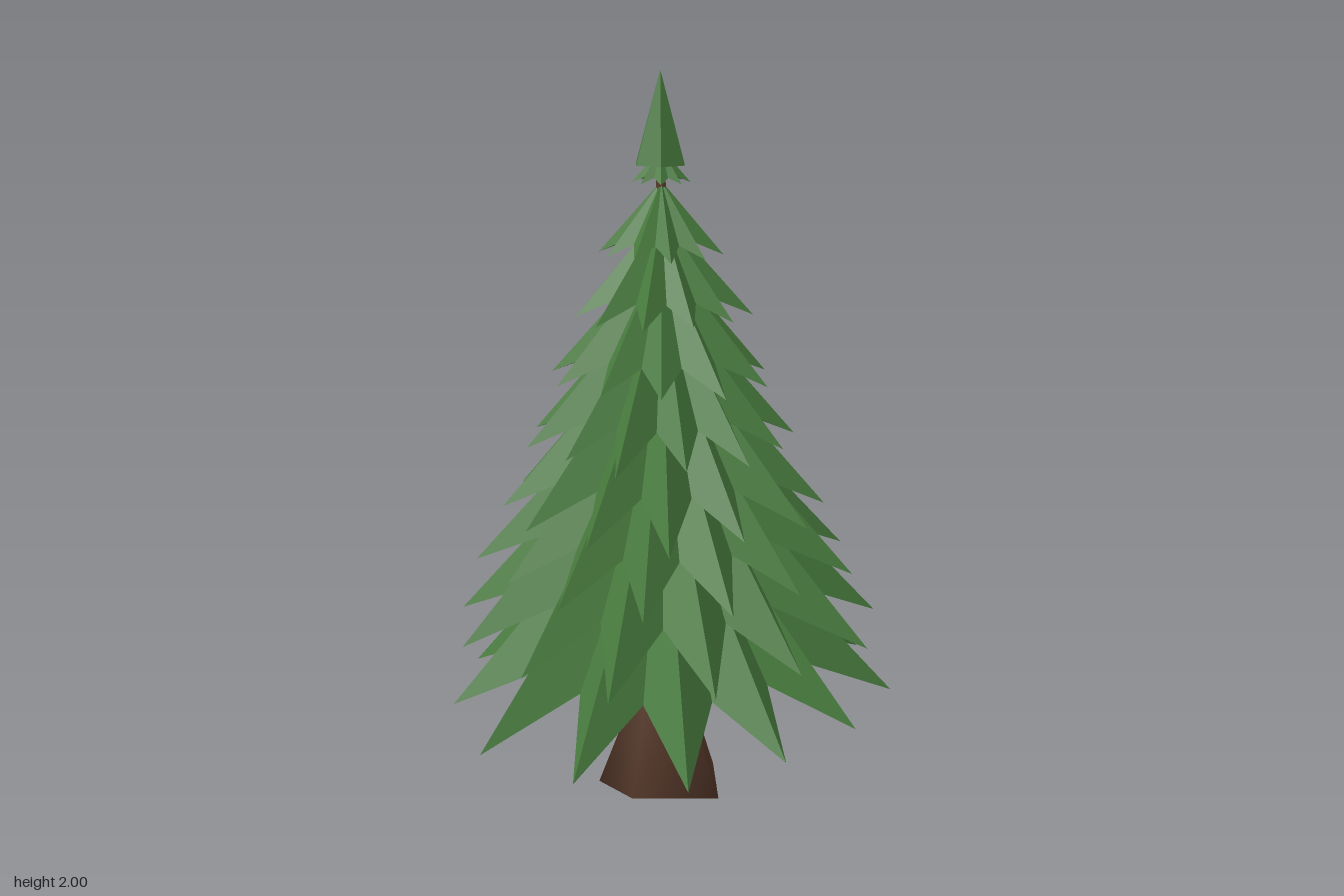
import * as THREE from 'three';

// small seeded generator for uneven branch lengths
function makeRandom(seed) {
  return () => {
    seed = (seed * 16807) % 2147483647;
    return seed / 2147483647;
  };
}

function toGeometry(positions, index) {
  const geo = new THREE.BufferGeometry();
  geo.setAttribute('position', new THREE.Float32BufferAttribute(positions, 3));
  geo.setIndex(index);
  return geo;
}

// the stem leans slightly as it rises
const leanX = (y) => -0.0225 * y;
const leanZ = (y) => -0.016 * y;

// one closed star-shaped skirt: ridged branches above, shallow cone below
function makeTier(tipY, radii, turn) {
  const count = radii.length;
  const step = (Math.PI * 2) / count;
  const mean = radii.reduce((a, b) => a + b) / count;
  const cx = leanX(tipY), cz = leanZ(tipY);
  const apexY = tipY + mean * 1.15;
  const positions = [leanX(apexY), apexY, leanZ(apexY), cx, tipY + mean * 0.4, cz];
  const index = [];
  const valley = mean * 0.62;
  radii.forEach((r, i) => {
    const a = turn + i * step;
    const b = a + step / 2;
    positions.push(cx + Math.cos(a) * r, tipY + (mean - r) * 0.25, cz + Math.sin(a) * r);
    positions.push(cx + Math.cos(b) * valley, tipY + mean * 0.2, cz + Math.sin(b) * valley);
  });
  const n = count * 2;
  for (let i = 0; i < n; i++) {
    const p = 2 + i, q = 2 + ((i + 1) % n);
    index.push(0, q, p, 1, p, q);
  }
  const geo = toGeometry(positions, index).toNonIndexed();
  geo.computeVertexNormals();
  return geo;
}

// six-sided smooth trunk lofted from the flared root outline to the thin top
function makeTrunk() {
  const root = [[0.2, -0.02], [0.03, 0.155], [-0.11, 0.155], [-0.13, 0], [-0.12, -0.135], [0.05, -0.155]];
  const rings = [[0.27, 0.082], [0.42, 0.062], [1.0, 0.045], [1.8, 0.01]];
  const n = root.length;
  const positions = root.flatMap(([x, z]) => [x, 0, z]);
  for (const [y, r] of rings) {
    for (let j = 0; j < n; j++) {
      const a = Math.atan2(root[j][1], root[j][0] - 0.02);
      positions.push(leanX(y) + Math.cos(a) * r, y, leanZ(y) + Math.sin(a) * r);
    }
  }
  const index = [];
  for (let i = 0; i < rings.length; i++) {
    for (let j = 0; j < n; j++) {
      const a = i * n + j, b = i * n + ((j + 1) % n);
      index.push(a, a + n, b, b, a + n, b + n);
    }
  }
  for (let j = 1; j < n - 1; j++) index.push(0, j, j + 1);
  const geo = toGeometry(positions, index);
  geo.computeVertexNormals();
  return geo;
}

function makeTwig(from, to) {
  const path = new THREE.LineCurve3(new THREE.Vector3(...from), new THREE.Vector3(...to));
  return new THREE.TubeGeometry(path, 1, 0.006, 5, false);
}

export function createModel() {
  const group = new THREE.Group();
  const needles = new THREE.MeshStandardMaterial({ color: 0x477a3d, flatShading: true });
  needles.name = 'needle green';
  const bark = new THREE.MeshStandardMaterial({ color: 0x583a2b });
  bark.name = 'bark brown';

  const add = (name, geometry, material) => {
    const mesh = new THREE.Mesh(geometry, material);
    mesh.name = name;
    group.add(mesh);
    return mesh;
  };

  add('trunk', makeTrunk(), bark);
  add('twigMain', makeTwig([-0.02, 0.38, -0.02], [-0.13, 0.45, -0.11]), bark);
  add('twigSide', makeTwig([-0.07, 0.45, -0.03], [-0.08, 0.39, -0.1]), bark);

  // branch tiers, lowest first: tip height, mean reach, branch count, turn in degrees
  const tiers = [
    [0.29, 0.61, 13, 11], [0.5, 0.57, 13, 3], [0.68, 0.5, 13, -5],
    [0.85, 0.44, 13, -13], [1.03, 0.37, 13, -21], [1.2, 0.3, 11, -86],
    [1.37, 0.235, 11, -75], [1.53, 0.16, 10, -72], [1.715, 0.075, 8, 0],
  ];
  // reach of each branch in the two widest tiers
  const wide = [
    [0.57, 0.61, 0.61, 0.63, 0.6, 0.57, 0.57, 0.63, 0.66, 0.58, 0.66, 0.65, 0.59],
    [0.54, 0.55, 0.57, 0.55, 0.58, 0.58, 0.56, 0.58, 0.57, 0.57, 0.53, 0.61, 0.59],
  ];
  const random = makeRandom(77);
  tiers.forEach(([y, reach, count, turn], t) => {
    const radii = wide[t] || Array.from({ length: count }, () => reach * (0.94 + random() * 0.12));
    add(`branchTier${t + 1}`, makeTier(y, radii, THREE.MathUtils.degToRad(turn)), needles);
  });

  // pointed crown
  const crown = add('crown', new THREE.ConeGeometry(0.073, 0.24, 6), needles);
  crown.position.set(-0.047, 1.88, -0.032);
  crown.rotation.y = Math.PI / 6 + 0.3;

  return group;
}
